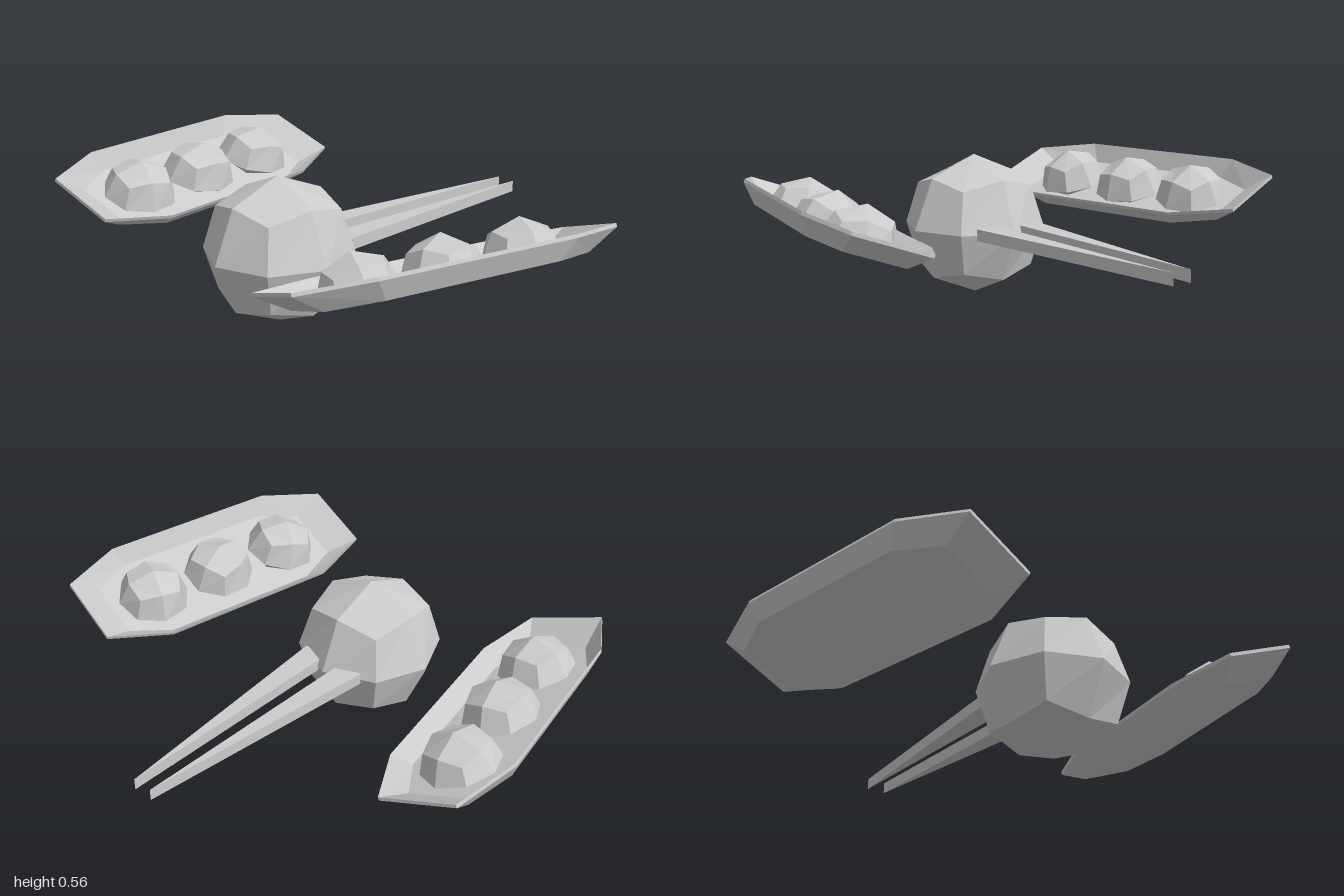
import * as THREE from 'three';

const material = new THREE.MeshStandardMaterial({ color: 0xcccccc, flatShading: true });
const thinMaterial = new THREE.MeshStandardMaterial({ color: 0xcccccc, flatShading: true, side: THREE.DoubleSide });

const FLOOR = -0.065; // height of the tray floor below its rim

function addMesh(parent, name, geometry, mat = material) {
  const mesh = new THREE.Mesh(geometry, mat);
  mesh.name = name;
  parent.add(mesh);
  return mesh;
}

// Low-poly ball: a 2x2x2 box pushed out to a sphere
function ballGeometry(radius) {
  const geometry = new THREE.BoxGeometry(1, 1, 1, 2, 2, 2);
  const p = geometry.attributes.position;
  const v = new THREE.Vector3();
  for (let i = 0; i < p.count; i++) {
    v.fromBufferAttribute(p, i).setLength(radius);
    p.setXYZ(i, v.x, v.y, v.z);
  }
  return geometry;
}

// Ball turned about its centre, with its underside flattened onto the floor
function peaGeometry(radius, tiltX, turn, tiltZ) {
  const geometry = ballGeometry(radius);
  geometry.applyMatrix4(new THREE.Matrix4().makeRotationFromEuler(new THREE.Euler(tiltX, turn, tiltZ)));
  const p = geometry.attributes.position;
  for (let i = 0; i < p.count; i++) p.setY(i, Math.max(p.getY(i), 0));
  return geometry;
}

// Long octagon: side half-width and half-length, end half-width and half-length
function octagon(sideX, sideZ, endX, endZ, y) {
  return [
    [sideX, -sideZ], [sideX, sideZ], [endX, endZ], [-endX, endZ],
    [-sideX, sideZ], [-sideX, -sideZ], [-endX, -endZ], [endX, -endZ],
  ].map(([x, z]) => [x, y, z]);
}

// Tray skin running from the underside, round the rim and down to the floor
function trayGeometry() {
  const rings = [
    octagon(0.19, 0.335, 0.117, 0.51, -0.08),
    octagon(0.242, 0.375, 0.148, 0.622, -0.013),
    octagon(0.242, 0.375, 0.148, 0.622, 0),
    octagon(0.19, 0.335, 0.117, 0.50, FLOOR),
  ];
  const positions = [];
  const n = 8;
  const triangle = (a, b, c) => positions.push(...a, ...b, ...c);
  for (let r = 0; r < rings.length - 1; r++) {
    const lower = rings[r], upper = rings[r + 1];
    for (let i = 0; i < n; i++) {
      const j = (i + 1) % n;
      triangle(lower[i], upper[i], upper[j]);
      triangle(lower[i], upper[j], lower[j]);
    }
  }
  // Underside and floor caps
  const bottom = rings[0], floor = rings[3];
  for (let i = 1; i < n - 1; i++) {
    triangle(bottom[0], bottom[i], bottom[i + 1]);
    triangle(floor[0], floor[i + 1], floor[i]);
  }
  const geometry = new THREE.BufferGeometry();
  geometry.setAttribute('position', new THREE.Float32BufferAttribute(positions, 3));
  geometry.computeVertexNormals();
  return geometry;
}

// Tilted pod holding three peas; side is +1 for left, -1 for right
function createPod(side, turns) {
  const pod = new THREE.Group();
  pod.name = side > 0 ? 'leftPod' : 'rightPod';
  addMesh(pod, 'podShell', trayGeometry(), thinMaterial);
  turns.forEach((turn, i) => {
    const pea = addMesh(pod, 'pea', peaGeometry(0.147, 0.08 * (i - 1), turn, -0.12 * side));
    pea.position.set(-0.005 * side, FLOOR, (i - 1) * 0.318);
  });
  pod.position.set(0.7075 * side, 0.43, 0.215);
  pod.rotation.set(0, -0.183 * side, 0.349 * side);
  return pod;
}

// Flat tapering blade pointing backwards
function bladeGeometry(side) {
  const shape = new THREE.Shape([
    new THREE.Vector2(0.04 * side, 0.13),
    new THREE.Vector2(0.14 * side, 0.13),
    new THREE.Vector2(0.04 * side, -0.855),
  ]);
  const geometry = new THREE.ExtrudeGeometry(shape, { depth: 0.046, bevelEnabled: false });
  geometry.rotateX(Math.PI / 2);
  return geometry;
}

export function createModel() {
  const model = new THREE.Group();
  model.name = 'podCreature';

  // Central body
  addMesh(model, 'body', ballGeometry(0.282)).position.set(0, 0.285, 0.35);

  // Rear blades
  for (const side of [1, -1]) {
    const blade = addMesh(model, side > 0 ? 'leftBlade' : 'rightBlade', bladeGeometry(side), thinMaterial);
    blade.position.y = 0.31;
  }

  // Side pods with peas
  model.add(createPod(1, [-0.2, 0.4, -0.3]));
  model.add(createPod(-1, [-0.2, -0.1, -0.3]));

  return model;
}
